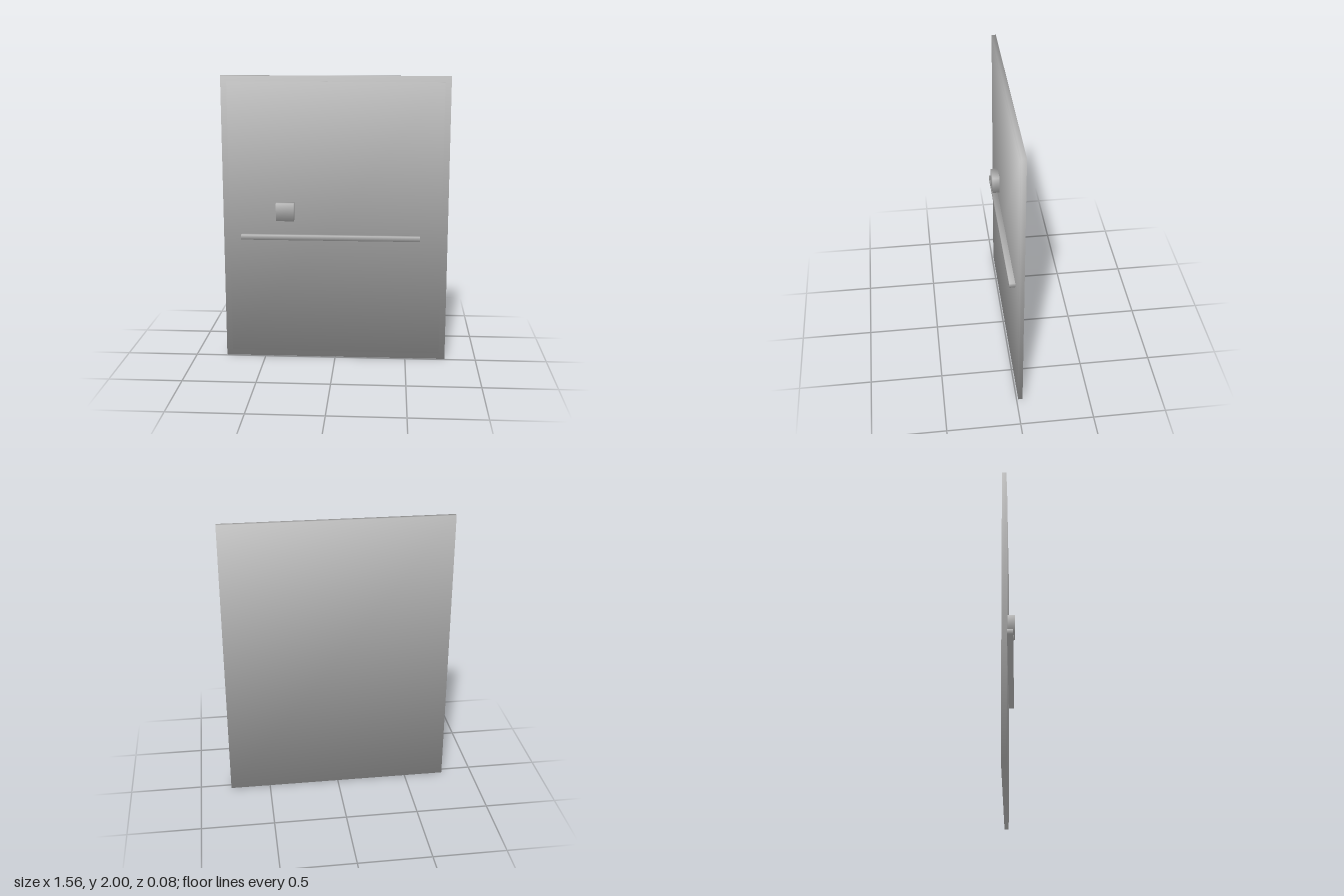
import * as THREE from 'three';

const grey = new THREE.MeshStandardMaterial({ color: 0xc0c0c0 });
grey.name = 'plain grey';

// Box between two corners, with normals shared at each corner for soft shading
function softBox(name, [x0, y0, z0], [x1, y1, z1]) {
  const geometry = new THREE.BoxGeometry(x1 - x0, y1 - y0, z1 - z0);
  const { position, normal } = geometry.attributes;
  const n = new THREE.Vector3();
  for (let i = 0; i < position.count; i++) {
    n.set(
      Math.sign(position.getX(i)),
      Math.sign(position.getY(i)),
      Math.sign(position.getZ(i))
    ).normalize();
    normal.setXYZ(i, n.x, n.y, n.z);
  }
  const mesh = new THREE.Mesh(geometry, grey);
  mesh.name = name;
  mesh.position.set((x0 + x1) / 2, (y0 + y1) / 2, (z0 + z1) / 2);
  return mesh;
}

export function createModel() {
  const group = new THREE.Group();
  group.name = 'wallPanel';
  group.add(
    // Upright slab and its barely raised facing
    softBox('slab', [-0.782, 0, -0.042], [0.782, 2, -0.012]),
    softBox('facing', [-0.74, 0.04, -0.02], [0.74, 1.96, -0.009]),
    // Long horizontal rail and the square block above it
    softBox('rail', [-0.655, 0.867, -0.012], [0.59, 0.902, 0.03]),
    softBox('block', [-0.408, 1.005, -0.012], [-0.284, 1.13, 0.042])
  );
  return group;
}
